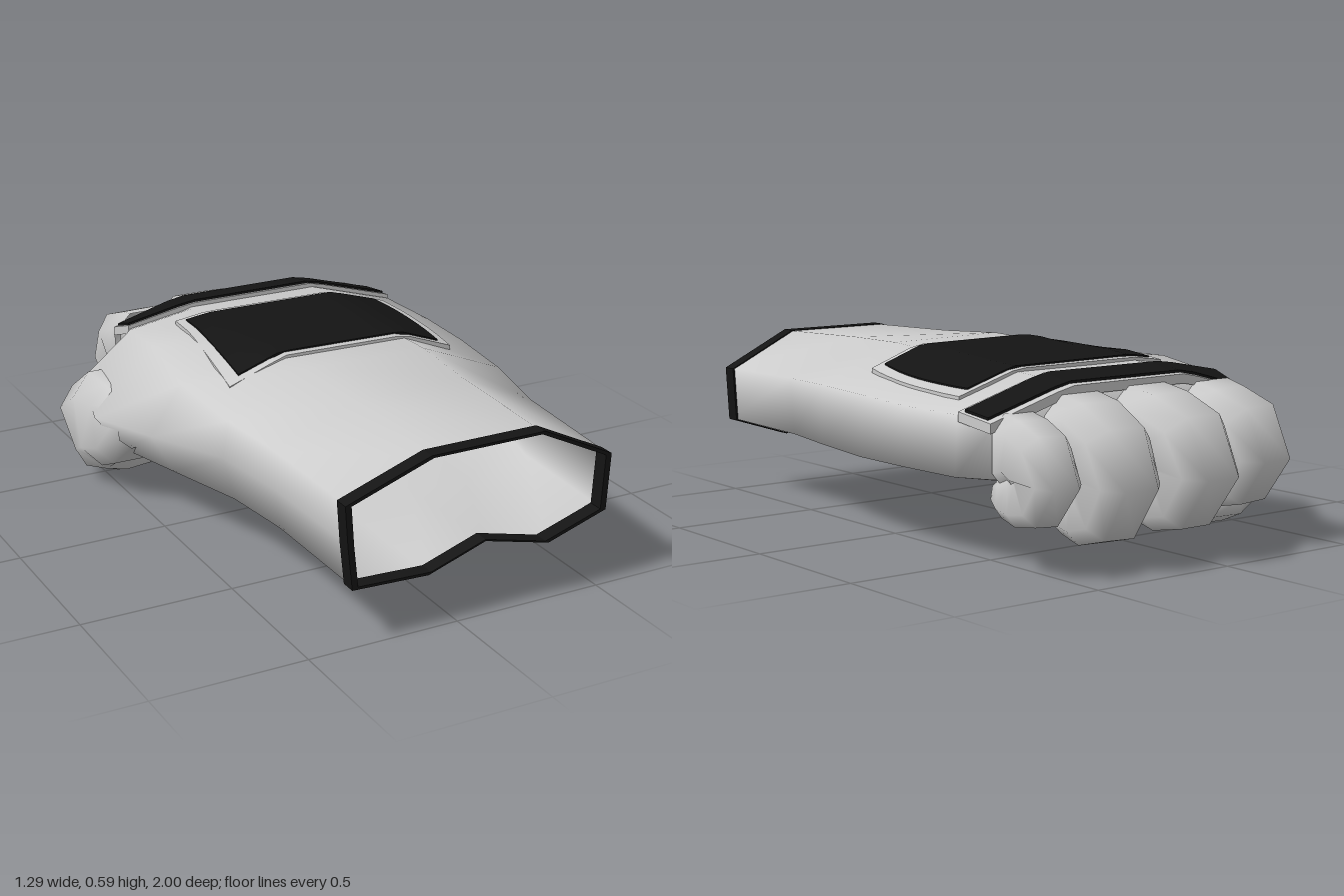
import * as THREE from 'three';

const V = (x, y, z) => new THREE.Vector3(x, y, z);
const grey = new THREE.MeshStandardMaterial({ color: 0xcccccc, side: THREE.DoubleSide });
const black = new THREE.MeshStandardMaterial({ color: 0x141414, side: THREE.DoubleSide });

// Hand cross-sections from cuff to knuckles: over the back of the hand, along the palm, up the thumb side
const sections = [
  { z: 1.0, p: [-.375, .46, -.10, .557, .28, .557, .52, .44, .51, .26, .31, .195, .09, .25, -.10, .185, -.35, .195, -.365, .33] },
  { z: 0.55, p: [-.38, .46, -.10, .57, .28, .572, .54, .45, .53, .26, .31, .195, .09, .24, -.10, .18, -.36, .20, -.375, .33] },
  { z: 0.28, p: [-.40, .46, -.12, .583, .30, .578, .59, .46, .59, .265, .36, .205, .10, .235, -.15, .14, -.38, .19, -.42, .34] },
  { z: 0.0, p: [-.43, .49, -.15, .57, .30, .565, .62, .46, .63, .265, .38, .21, .10, .235, -.17, .13, -.46, .19, -.54, .33] },
  { z: -.25, p: [-.415, .532, -.15, .56, .32, .555, .635, .455, .645, .27, .40, .215, .12, .235, -.17, .14, -.53, .19, -.63, .32] },
  { z: -.5, p: [-.39, .505, -.15, .545, .32, .545, .62, .455, .63, .27, .40, .23, .12, .24, -.15, .19, -.48, .25, -.57, .36] },
  { z: -.65, p: [-.36, .46, -.15, .52, .32, .52, .60, .44, .60, .28, .40, .25, .12, .25, -.14, .25, -.34, .27, -.37, .37] },
];
const ringOf = ({ z, p }) => Array.from({ length: 10 }, (_, j) => V(p[2 * j], p[2 * j + 1], z));

// Skin closed rings into a surface, optionally closing the last ring
function loft(rings, cap) {
  const n = rings[0].length, pts = rings.flat(), index = [];
  for (let i = 0; i < rings.length - 1; i++) {
    for (let j = 0; j < n; j++) {
      const a = i * n + j, b = i * n + (j + 1) % n;
      index.push(a, b, a + n, b, b + n, a + n);
    }
  }
  if (cap) {
    const last = rings[rings.length - 1], base = pts.length - n;
    const mid = last.reduce((s, v) => s.add(v), V(0, 0, 0)).divideScalar(n);
    for (let j = 0; j < n; j++) index.push(pts.length, base + j, base + (j + 1) % n);
    pts.push(mid);
  }
  const g = new THREE.BufferGeometry().setFromPoints(pts);
  g.setIndex(index);
  g.computeVertexNormals();
  return g;
}

// Eight-sided, slightly squared limb along a path of { c: centre, w: half width, t: half thickness }
function limb(path) {
  const side = V(1, 0, 0), k = 1 / Math.cos(Math.PI / 8);
  const square = v => Math.sign(v) * Math.abs(v * k) ** 0.7;
  const rings = path.map(({ c, w, t }, i) => {
    const before = path[Math.max(i - 1, 0)].c, after = path[Math.min(i + 1, path.length - 1)].c;
    const dir = after.clone().sub(before).normalize();
    side.addScaledVector(dir, -side.dot(dir)).normalize();
    const up = dir.clone().cross(side);
    return Array.from({ length: 8 }, (_, j) => {
      const a = (j + 0.5) * Math.PI / 4;
      return c.clone().addScaledVector(side, square(Math.cos(a)) * w).addScaledVector(up, square(Math.sin(a)) * t);
    });
  });
  return loft(rings, true);
}

// Height of the back of the hand
function backHeight(x, z) {
  let i = 0;
  while (i < sections.length - 2 && z < sections[i + 1].z) i++;
  const A = sections[i], B = sections[i + 1], f = (A.z - z) / (A.z - B.z);
  const p = A.p.map((v, k) => v + (B.p[k] - v) * f);
  let j = 0;
  while (j < 2 && x > p[2 * j + 2]) j++;
  const g = (x - p[2 * j]) / (p[2 * j + 2] - p[2 * j]);
  return p[2 * j + 1] + (p[2 * j + 3] - p[2 * j + 1]) * g;
}

// Plate draped over the back of the hand; corners [x, z]: back left, back right, front right, front left.
// bow pushes the middle of the right edge outwards.
function plate([a, b, c, d], lift, bow) {
  const g = new THREE.BoxGeometry(1, 1, 1, 16, 1, 8), pos = g.attributes.position;
  const mix = THREE.MathUtils.lerp;
  for (let i = 0; i < pos.count; i++) {
    const u = pos.getX(i) + 0.5, v = pos.getZ(i) + 0.5;
    const x = mix(mix(a[0], b[0], u), mix(d[0], c[0], u), v) + bow * u * 4 * v * (1 - v);
    const z = mix(mix(a[1], b[1], u), mix(d[1], c[1], u), v);
    pos.setXYZ(i, x, backHeight(x, z) + (pos.getY(i) > 0 ? lift : lift - 0.03), z);
  }
  g.computeVertexNormals();
  return g;
}

export function createModel() {
  const glove = new THREE.Group();
  glove.name = 'glove';
  const add = (name, geometry, material = grey) => {
    const m = new THREE.Mesh(geometry, material);
    m.name = name;
    glove.add(m);
  };

  // Hollow hand, open at the wrist
  add('hand', loft(sections.map(ringOf), true));

  // Dark band round the wrist opening
  const cuffRing = (s, z) => ringOf(sections[0]).map(v => V(.075 + (v.x - .075) * s, .37 + (v.y - .37) * s, z));
  const cuff = loft([cuffRing(.975, .95), cuffRing(.975, 1), cuffRing(1.02, 1), cuffRing(1.02, .95), cuffRing(.975, .95)]);
  const cuffFlat = cuff.toNonIndexed();
  cuffFlat.computeVertexNormals();
  add('cuffBand', cuffFlat, black);

  // Curled fingers: shared side profile [z reach, drop, width scale, thickness]
  const curl = [
    [-.05, 0, 1, .13], [-.14, 0, .96, .115], [-.23, -.035, .9, .125], [-.275, -.105, .84, .125],
    [-.22, -.185, .78, .105], [-.14, -.2, .72, .095], [-.06, -.2, .64, .075], [0, -.19, .45, .045],
  ];
  const fingers = [
    { name: 'indexFinger', x: -.255, tipX: -.265, y: .375, w: .128, reach: .74, drop: .82, t: 1 },
    { name: 'middleFinger', x: .02, tipX: .02, y: .385, w: .135, reach: 1, drop: 1.05, t: 1 },
    { name: 'ringFinger', x: .285, tipX: .295, y: .38, w: .13, reach: .86, drop: 1.1, t: 1 },
    { name: 'littleFinger', x: .515, tipX: .53, y: .36, w: .093, reach: .76, drop: .68, t: .85 },
  ];
  for (const f of fingers) {
    add(f.name, limb(curl.map(([z, y, w, t], i) => ({
      c: V(i < 2 ? f.x : f.tipX, f.y + y * f.drop, i ? -.6 + z * f.reach : -.651), w: w * f.w, t: t * f.t,
    }))));
  }

  // Thumb grows from the swollen side of the hand, then hooks down and in: [x, y, z, width, thickness]
  const thumb = [
    [-.5, .3, -.17, .08, .07], [-.495, .27, -.29, .125, .135], [-.495, .255, -.39, .145, .16], [-.5, .22, -.455, .145, .15],
    [-.48, .15, -.485, .125, .125], [-.42, .105, -.505, .095, .095], [-.35, .1, -.5, .08, .08], [-.3, .11, -.49, .045, .045],
  ];
  add('thumb', limb(thumb.map(([x, y, z, w, t]) => ({ c: V(x, y, z), w, t }))));

  // Padded panel on the back of the hand
  add('panelFrame', plate([[-.26, -.41], [.54, -.40], [.475, .16], [-.33, .15]], .01, .022));
  add('panel', plate([[-.235, -.38], [.495, -.38], [.445, .13], [-.285, .12]], .015, .022), black);

  // Knuckle strap
  add('strapFrame', plate([[-.385, -.655], [.62, -.66], [.625, -.51], [-.385, -.525]], .014, 0));
  add('strap', plate([[-.375, -.64], [.61, -.635], [.615, -.53], [-.38, -.535]], .022, 0), black);

  return glove;
}
